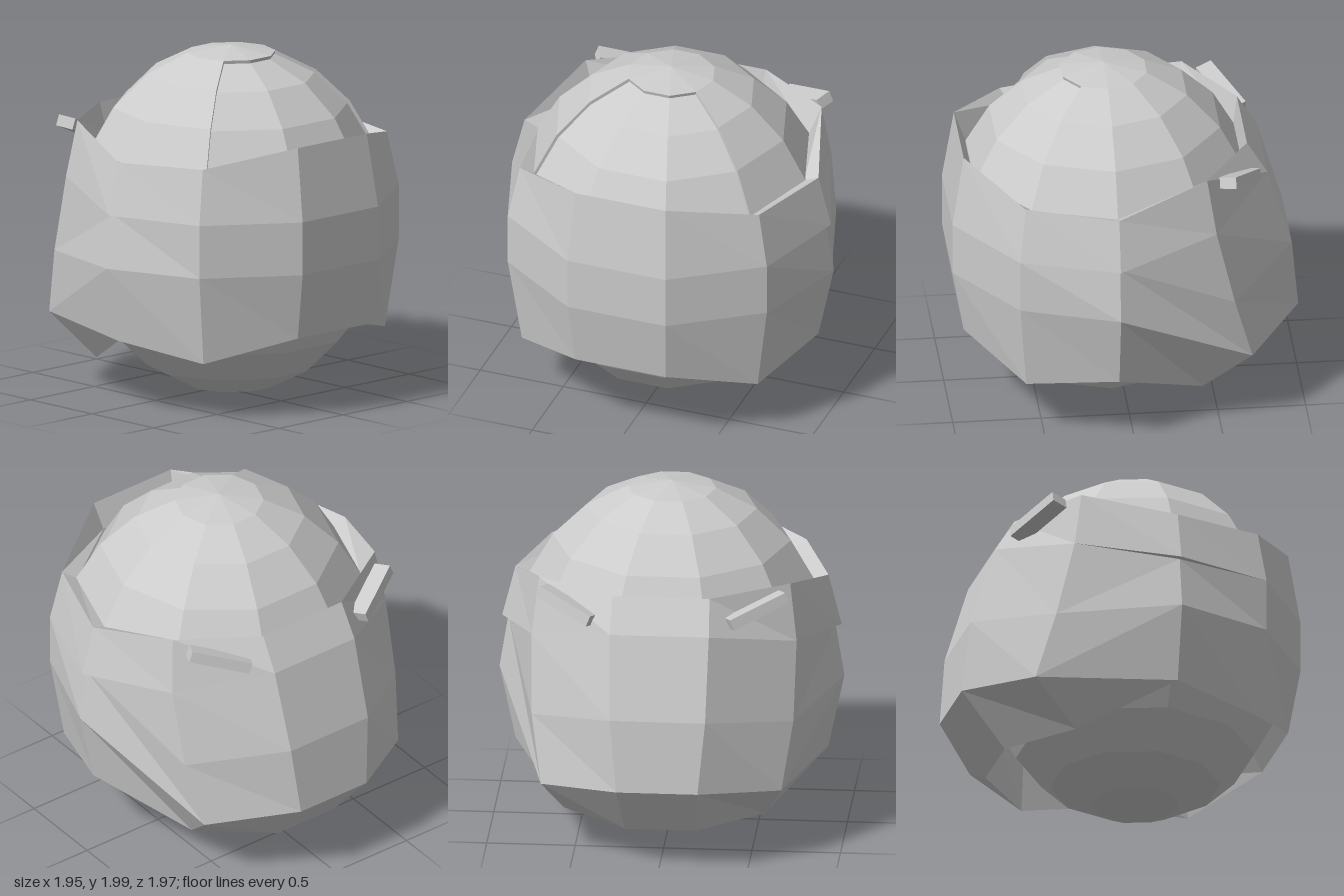
import * as THREE from 'three';

const CENTER_Z = 0.095;
const material = new THREE.MeshStandardMaterial({ color: 0xcccccc, flatShading: true });

// Skins a closed loop of columns; every column lists its points from top to bottom.
function skin(columns, name) {
  const pos = [];
  const tri = (a, b, c) => {
    const area = new THREE.Vector3().subVectors(b, a).cross(new THREE.Vector3().subVectors(c, a));
    if (area.length() > 1e-7) for (const p of [a, b, c]) pos.push(p.x, p.y, p.z);
  };
  columns.forEach((col, i) => {
    const next = columns[(i + 1) % columns.length];
    for (let r = 0; r < col.length - 1; r++) {
      tri(col[r], col[r + 1], next[r + 1]);
      tri(col[r], next[r + 1], next[r]);
    }
  });
  const geometry = new THREE.BufferGeometry();
  geometry.setAttribute('position', new THREE.Float32BufferAttribute(pos, 3));
  geometry.computeVertexNormals();
  const mesh = new THREE.Mesh(geometry, material);
  mesh.name = name;
  return mesh;
}

// Point at an angle from the front, around the body's axis
function around(degrees, radius, y) {
  const a = THREE.MathUtils.degToRad(degrees);
  return new THREE.Vector3(Math.sin(a) * radius, y, Math.cos(a) * radius + CENTER_Z);
}

// Ten-sided egg with a slightly recessed panel over the three front sides
function createBody() {
  const rings = [0, 1, 1, 2, 3, 4, 5, 6, 7, 8, 9, 10, 11];
  const column = (degrees, inset) => rings.map((ring, row) => {
    const t = (ring / 11) * Math.PI;
    const s = inset && row >= 2 && ring <= 5 ? 0.98 : 1;
    return around(degrees, 0.89 * s * Math.sin(t), 1.003 + 0.997 * s * Math.cos(t));
  });
  const columns = [column(-54, false)];
  for (const d of [-54, -18, 18, 54]) columns.push(column(d, true));
  for (let d = 54; d < 300; d += 36) columns.push(column(d, false));
  return skin(columns, 'body');
}

// Wraparound shell: edge, overhanging upper flap, lower panels and edge
function createShell() {
  const half = [
    [18, [0.27, 1.575, 0.915], [0.295, 1.16, 0.98], [0.295, 1.16, 0.98],
      [0.295, 1.16, 0.98], [0.295, 0.855, 0.98], [0.27, 0.475, 0.915]],
    [54, [0.72, 1.47, 0.61], [0.78, 1.16, 0.645], [0.78, 1.16, 0.645],
      [0.78, 1.16, 0.645], [0.78, 0.855, 0.645], [0.71, 0.345, 0.605]],
    [90, [0.885, 1.455, 0.095], [0.96, 1.16, 0.095], [0.925, 1.16, 0.095],
      [0.925, 1.16, 0.095], [0.975, 0.855, 0.095], [0.885, 0.425, 0.095]],
    [126, [0.71, 1.59, -0.42], [0.75, 1.265, -0.47], [0.75, 1.265, -0.47],
      [0.74, 0.82, -0.575], [0.68, 0.44, -0.68], [0.57, 0.2, -0.41]],
    [162, [0.275, 1.585, -0.69], [0.28, 1.395, -0.805], [0.28, 1.395, -0.805],
      [0.27, 0.93, -0.945], [0.23, 0.515, -0.985], [0.2, 0.2, -0.725]],
  ];
  // The inner lips run back to the body above and below
  const right = half.map(([degrees, ...points]) => [
    around(degrees, 0.8, 1.42),
    ...points.map((p) => new THREE.Vector3(...p)),
    around(degrees, 0.8, 0.57),
  ]);
  const mirrored = right.map((col) => col.map((p) => new THREE.Vector3(-p.x, p.y, p.z))).reverse();
  return skin([...right, ...mirrored], 'shell');
}

// Small tilted bar on the upper back
function createBar(side) {
  const along = new THREE.Vector3(0.32 * side, 0.12, 0.18).normalize();
  const out = new THREE.Vector3(0.5 * side, 0.2, -0.82);
  out.addScaledVector(along, -out.dot(along)).normalize();
  const up = new THREE.Vector3().crossVectors(out, along);
  const bar = new THREE.Mesh(new THREE.BoxGeometry(0.36, 0.065, 0.1), material);
  bar.quaternion.setFromRotationMatrix(new THREE.Matrix4().makeBasis(along, up, out));
  bar.position.set(0.535 * side, 1.5, -0.625);
  bar.name = side > 0 ? 'leftBackBar' : 'rightBackBar';
  return bar;
}

export function createModel() {
  const model = new THREE.Group();
  model.name = 'shelledEgg';
  model.add(createBody(), createShell(), createBar(1), createBar(-1));
  return model;
}
